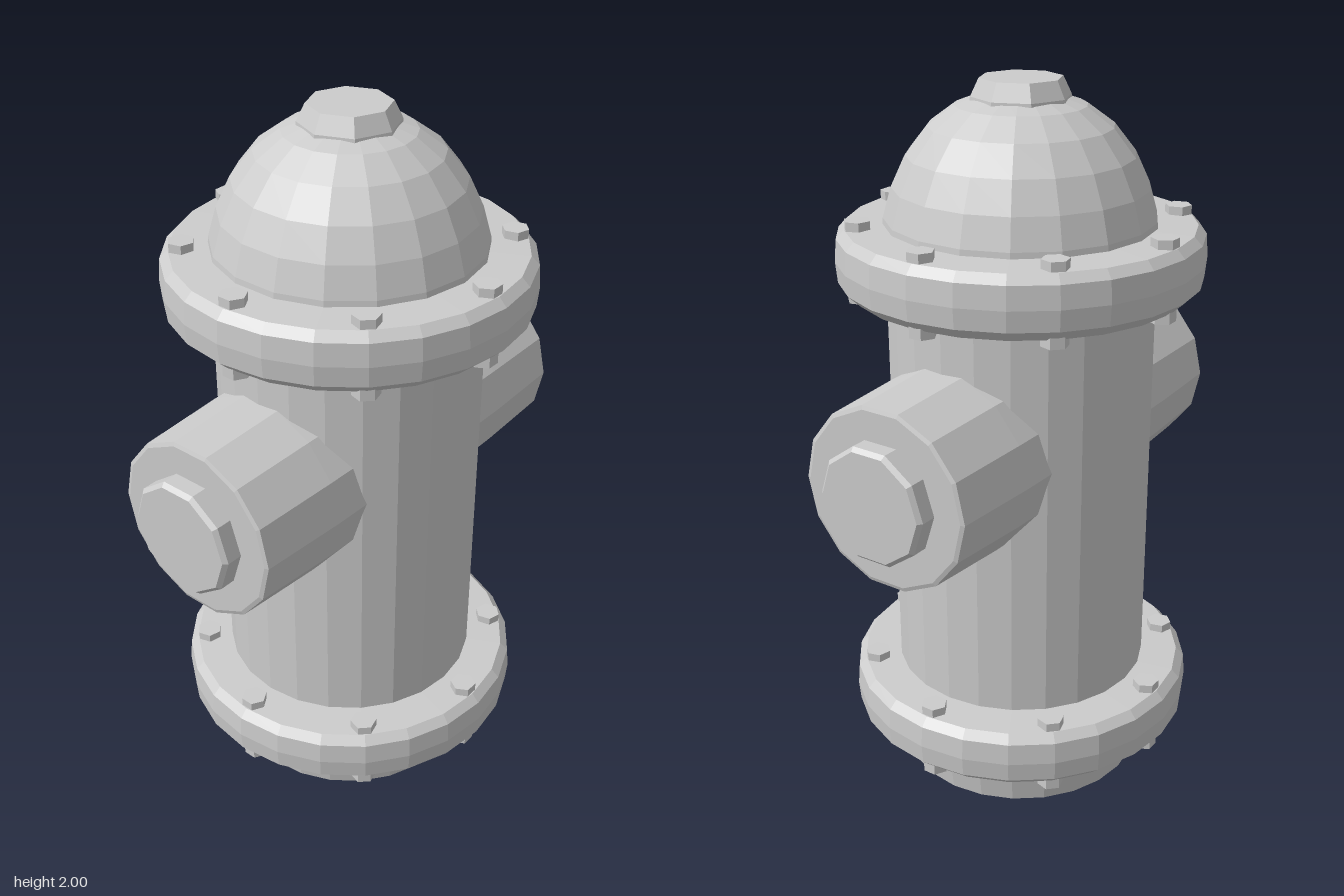
import * as THREE from 'three';

const material = new THREE.MeshStandardMaterial({ color: 0xcccccc, flatShading: true });

function add(parent, name, geometry) {
  const mesh = new THREE.Mesh(geometry, material);
  mesh.name = name;
  parent.add(mesh);
  return mesh;
}

// Turned part from [radius, height] pairs listed bottom to top
function turned(parent, name, profile, sides) {
  const points = profile.map(([r, y]) => new THREE.Vector2(r, y));
  return add(parent, name, new THREE.LatheGeometry(points, sides));
}

// Flange ring with eight bolts through it
function flange(parent, name, y) {
  const group = new THREE.Group();
  group.name = name;
  group.position.y = y;
  parent.add(group);
  turned(group, 'flangeRing', [
    [0.33, -0.085], [0.45, -0.085], [0.482, -0.055], [0.487, 0],
    [0.482, 0.06], [0.46, 0.083], [0.33, 0.088],
  ], 24);
  for (let i = 0; i < 8; i++) {
    const a = (i * Math.PI) / 4;
    const bolt = add(group, 'bolt', new THREE.CylinderGeometry(0.036, 0.036, 0.215, 6));
    bolt.position.set(0.425 * Math.cos(a), 0, 0.425 * Math.sin(a));
    bolt.rotation.y = -a;
  }
}

export function createModel() {
  const model = new THREE.Group();
  model.name = 'fireHydrant';

  // Barrel with a chamfered foot
  turned(model, 'barrel', [
    [0, 0], [0.285, 0], [0.345, 0.04], [0.357, 0.12], [0.357, 1.5],
  ], 24);

  flange(model, 'lowerFlange', 0.265);
  flange(model, 'upperFlange', 1.548);

  // Domed bonnet
  turned(model, 'dome', [
    [0.366, 1.58], [0.358, 1.65], [0.335, 1.73], [0.297, 1.81],
    [0.24, 1.882], [0.17, 1.933], [0.09, 1.96], [0, 1.968],
  ], 18);

  // Operating nut on top
  turned(model, 'topNut', [
    [0.136, 1.9], [0.13, 1.955], [0.108, 2], [0, 2],
  ], 8);

  // Side outlets with raised caps
  for (const side of [1, -1]) {
    const outlet = new THREE.Group();
    outlet.name = side > 0 ? 'leftOutlet' : 'rightOutlet';
    outlet.position.y = 1.067;
    outlet.rotation.z = (-side * Math.PI) / 2;
    model.add(outlet);
    turned(outlet, 'outletPipe', [
      [0.26, 0.2], [0.258, 0.35], [0.246, 0.598], [0.235, 0.602], [0, 0.602],
    ], 14);
    turned(outlet, 'outletCap', [
      [0.158, 0.56], [0.158, 0.645], [0.147, 0.656], [0, 0.656],
    ], 10);
  }

  return model;
}
